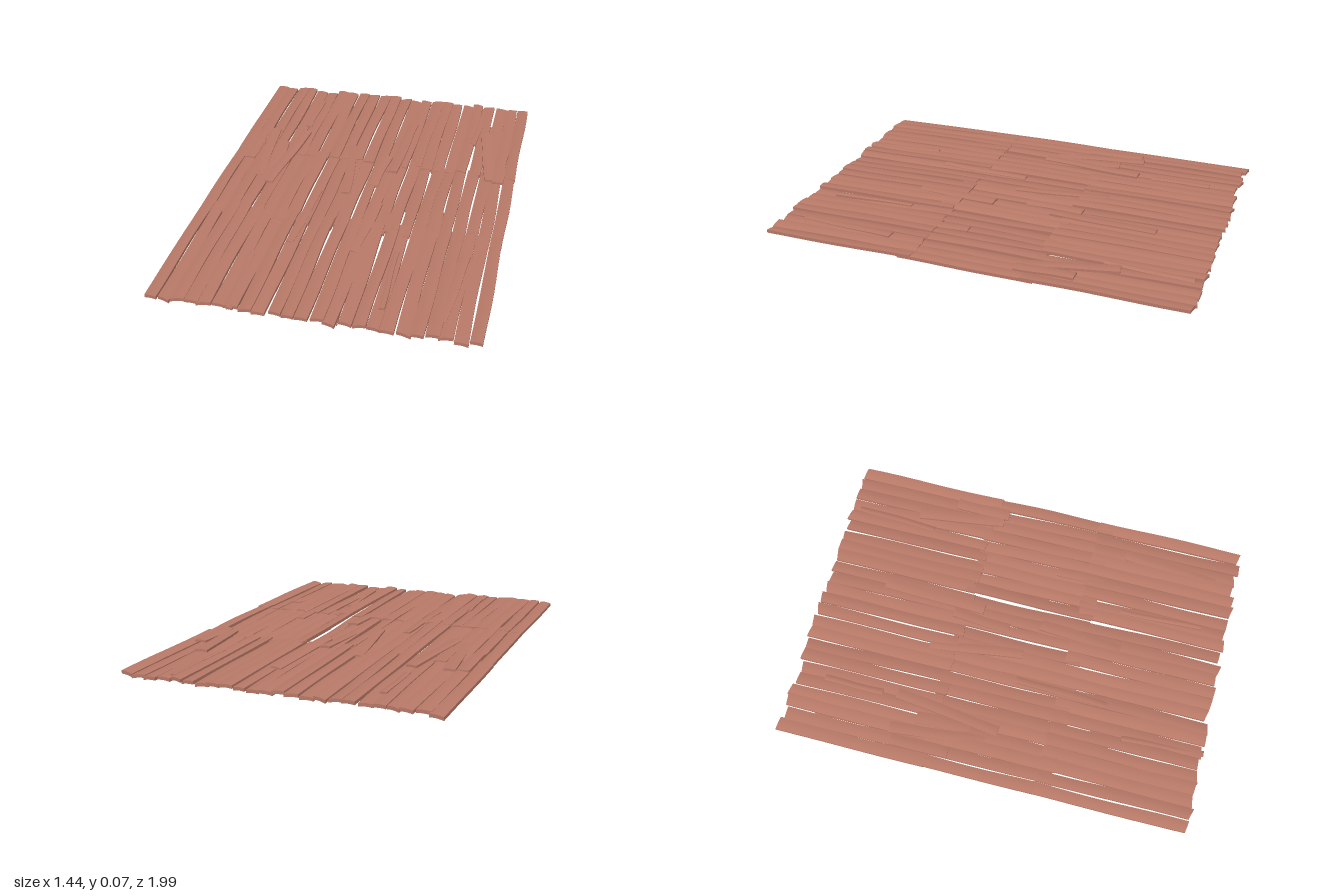
import * as THREE from 'three';

const wood = new THREE.MeshStandardMaterial({ color: 0xb97a68, roughness: 0.9 });

// Small seeded generator, returns -1..1
let seed = 7;
const rnd = () => {
  seed = (seed * 16807) % 2147483647;
  return (seed / 2147483647) * 2 - 1;
};

// A worn, slightly arched board running from [x, y, z] a to b.
// roll tilts it sideways, skew slants its sawn ends, bow bends it along its length.
function board(name, a, b, width, thick, { roll = 0, skew = 0, bow = 0 } = {}) {
  const geo = new THREE.BoxGeometry(1, 1, 1, 4, 1, 8);
  const p = geo.attributes.position;
  const phase = rnd() * 3;
  for (let i = 0; i < p.count; i++) {
    const u = p.getX(i), v = p.getY(i), t = p.getZ(i) + 0.5;
    const w = width * (1 + 0.04 * Math.sin(t * 7 + phase));
    const arch = 0.003 * (1 - 4 * u * u);
    p.setXYZ(i,
      a[0] + (b[0] - a[0]) * t + u * w + 0.002 * Math.sin(t * 6 + phase),
      a[1] + (b[1] - a[1]) * t + v * thick + arch + u * roll + bow * Math.sin(Math.PI * t),
      a[2] + (b[2] - a[2]) * t + u * skew);
  }
  geo.computeVertexNormals();
  const mesh = new THREE.Mesh(geo, wood);
  mesh.name = name;
  return mesh;
}

export function createModel() {
  seed = 7;
  const model = new THREE.Group();
  model.name = 'plankPanel';

  // Three overlapping rows of 24 boards
  const columns = 24, pitch = 0.06;
  const rows = [
    { name: 'backRow', z0: -0.985, z1: -0.26, y0: 0.036, y1: 0.037 },
    { name: 'middleRow', z0: -0.3, z1: 0.33, y0: 0.034, y1: 0.037 },
    { name: 'frontRow', z0: 0.26, z1: 0.98, y0: 0.04, y1: 0.032 },
  ];
  rows.forEach((row, r) => {
    const group = new THREE.Group();
    group.name = row.name;
    for (let i = 0; i < columns; i++) {
      const x = (i - (columns - 1) / 2) * pitch;
      const wave = 0.004 * Math.sin(x * 25 + 2.5);
      const lift = wave + rnd() * 0.003;
      const edge = i === 0 || i === columns - 1 ? 0 : 0.006;
      const worn = r === 0 && (i === 1 || i === 4 || i === 5) ? 0.02 : 0;
      // The narrow board leaves the open slit near the middle
      const width = r === 1 && i === 12 ? 0.047 : 0.057 + rnd() * 0.003;
      group.add(board('plank',
        [x + rnd() * edge, row.y0 + lift, row.z0 + worn + rnd() * 0.006],
        [x + rnd() * edge, row.y1 + lift + rnd() * 0.002, row.z1 + rnd() * 0.01],
        width, 0.015,
        { roll: rnd() * 0.008, skew: rnd() * 0.015, bow: rnd() * 0.003 }));
    }
    model.add(group);
  });

  // Loose boards on top: x0, z0, x1, z1, width, y0, y1
  const loose = [
    [-0.58, -0.47, -0.53, -0.02, 0.052, 0.05, 0.042],
    [-0.41, -0.48, -0.47, 0.03, 0.05, 0.051, 0.043],
    [-0.5, -0.36, -0.49, -0.1, 0.06, 0.046, 0.04],
    [-0.63, -0.45, -0.63, -0.17, 0.055, 0.045, 0.044],
    [-0.42, -0.84, -0.42, -0.55, 0.03, 0.043, 0.041],
    [-0.13, -0.4, -0.07, 0.05, 0.045, 0.042, 0.046],
    [0.13, -0.7, 0.11, -0.19, 0.055, 0.043, 0.046],
    [0.06, -0.33, 0.04, -0.05, 0.05, 0.047, 0.04],
    [0.53, -0.64, 0.6, -0.22, 0.055, 0.063, 0.044],
    [0.635, -0.47, 0.635, -0.2, 0.055, 0.053, 0.047],
    [0.49, -0.95, 0.47, -0.55, 0.03, 0.042, 0.045],
    [0.1, 0.1, 0.07, 0.5, 0.055, 0.047, 0.04],
    [0.4, 0.11, 0.4, 0.36, 0.05, 0.045, 0.042],
    [-0.2, 0.05, -0.22, 0.5, 0.035, 0.043, 0.045],
    [0.265, 0.46, 0.28, 0.86, 0.024, 0.043, 0.043],
    [-0.36, 0.6, -0.335, 0.99, 0.026, 0.043, 0.036],
    [0.57, 0.42, 0.53, 0.88, 0.05, 0.046, 0.038],
  ];
  for (const [x0, z0, x1, z1, w, y0, y1] of loose) {
    model.add(board('loosePlank', [x0, y0, z0], [x1, y1, z1], w, 0.011,
      { roll: rnd() * 0.004, skew: -(x1 - x0) * w / (z1 - z0) }));
  }

  // Loose boards underneath
  const under = [
    [-0.57, -0.84, -0.56, -0.41, 0.055, 0.014, 0.007],
    [0.54, -0.8, 0.53, -0.4, 0.055, 0.016, 0.007],
    [-0.35, 0.45, -0.35, 0.9, 0.045, 0.02, 0.016],
    [0.08, 0.5, 0.09, 0.96, 0.055, 0.02, 0.012],
    [-0.45, 0.1, -0.43, 0.55, 0.05, 0.016, 0.018],
    [0.25, -0.4, 0.24, 0.1, 0.05, 0.02, 0.018],
  ];
  for (const [x0, z0, x1, z1, w, y0, y1] of under) {
    model.add(board('underPlank', [x0, y0, z0], [x1, y1, z1], w, 0.011, { roll: rnd() * 0.003 }));
  }
  return model;
}
